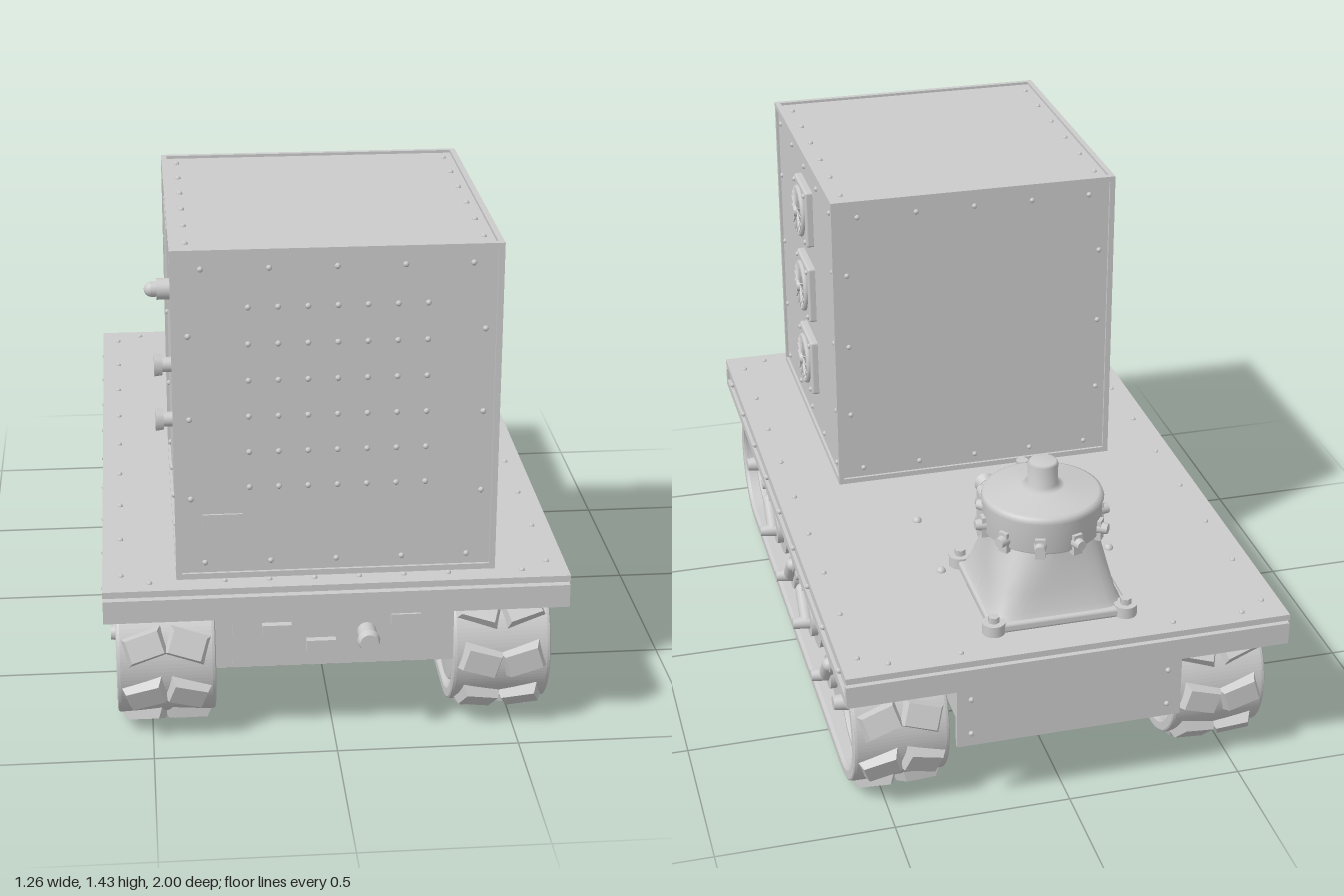
import * as THREE from 'three';
import { RoundedBoxGeometry } from 'three/addons/geometries/RoundedBoxGeometry.js';

const mat = new THREE.MeshStandardMaterial({ color: 0xcccccc, side: THREE.DoubleSide });
const flat = new THREE.MeshStandardMaterial({ color: 0xcccccc, flatShading: true });

function add(parent, name, geo, x = 0, y = 0, z = 0, m = mat) {
  const mesh = new THREE.Mesh(geo, m);
  mesh.name = name;
  mesh.position.set(x, y, z);
  parent.add(mesh);
  return mesh;
}
function group(parent, name) {
  const g = new THREE.Group();
  g.name = name;
  parent.add(g);
  return g;
}
// box given by its limits on each axis
function box(parent, name, x0, x1, y0, y1, z0, z1) {
  return add(parent, name, new THREE.BoxGeometry(x1 - x0, y1 - y0, z1 - z0), (x0 + x1) / 2, (y0 + y1) / 2, (z0 + z1) / 2);
}
// cylinder lying along an axis
function cyl(parent, name, r, len, axis, x, y, z, r2 = r, seg = 24) {
  const g = new THREE.CylinderGeometry(r2, r, len, seg);
  if (axis === 'x') g.rotateZ(-Math.PI / 2);
  if (axis === 'z') g.rotateX(Math.PI / 2);
  return add(parent, name, g, x, y, z);
}
const screwGeo = new THREE.SphereGeometry(0.008, 8, 6);
const screw = (parent, x, y, z) => add(parent, 'screw', screwGeo, x, y, z);

// racetrack outline in the side plane
function trackPath(Path, cz, cy, r) {
  const p = new Path();
  p.moveTo(-cz, cy - r);
  p.lineTo(cz, cy - r);
  p.absarc(cz, cy, r, -Math.PI / 2, Math.PI / 2, false);
  p.lineTo(-cz, cy + r);
  p.absarc(-cz, cy, r, Math.PI / 2, Math.PI * 1.5, false);
  return p;
}

// belt, tread lugs, wheels and suspension for the +x side
function buildTrack() {
  const t = new THREE.Group();
  const CZ = 0.73, CY = 0.222, R = 0.2;
  const shape = trackPath(THREE.Shape, CZ, CY, R);
  shape.holes.push(trackPath(THREE.Path, CZ, CY, R - 0.035));
  const belt = new THREE.ExtrudeGeometry(shape, { depth: 0.25, bevelEnabled: true, bevelThickness: 0.01, bevelSize: 0.006, bevelOffset: -0.006, bevelSegments: 2, curveSegments: 28 });
  belt.rotateY(-Math.PI / 2);
  add(t, 'trackBelt', belt, 0.585, 0, 0);

  // chevron lugs spaced along the belt
  const lugGeo = new THREE.CylinderGeometry(0.55, 0.7071, 1, 4);
  lugGeo.rotateY(Math.PI / 4);
  lugGeo.scale(0.118, 0.032, 0.082);
  const straight = 2 * CZ, arc = Math.PI * R, total = 2 * (straight + arc), count = 29;
  for (let i = 0; i < count; i++) {
    let s = (i + 0.3) * total / count, half = 1;
    if (s > straight + arc) { s -= straight + arc; half = -1; }
    const a = Math.max(0, (s - straight) / R);
    const z0 = s < straight ? -CZ + s : CZ;
    const ny = -Math.cos(a) * half, nz = Math.sin(a) * half;
    const lug = group(t, 'treadLug');
    lug.position.set(0.46, CY + ny * (R + 0.006), z0 * half + nz * (R + 0.006));
    lug.rotation.x = Math.atan2(nz, ny);
    for (const k of [-1, 1]) {
      const m = add(lug, 'lugBlock', lugGeo, k * 0.058, 0, 0, flat);
      m.rotation.y = k * 0.3;
    }
  }

  // drive wheel and idler
  for (const z of [0.72, -0.72]) {
    const pts = [[0, -0.13], [0.155, -0.13], [0.165, -0.12], [0.165, 0.09], [0.15, 0.1], [0.135, 0.1], [0.125, 0.07], [0.06, 0.07], [0.05, 0.1], [0, 0.1]];
    const g = new THREE.LatheGeometry(pts.map(p => new THREE.Vector2(...p)), 40);
    g.rotateZ(-Math.PI / 2);
    add(t, 'endWheel', g, 0.46, 0.232, z);
    cyl(t, 'axleCap', 0.026, 0.05, 'x', 0.585, 0.24, z, 0.02);
  }
  // road wheels on swing arms
  [[0.435, 1], [0.145, -1], [-0.14, 1], [-0.43, -1]].forEach(([z, d]) => {
    cyl(t, 'roadWheel', 0.087, 0.2, 'x', 0.45, 0.15, z, 0.087, 32);
    cyl(t, 'roadWheelHub', 0.05, 0.02, 'x', 0.56, 0.15, z);
    cyl(t, 'roadWheelCap', 0.022, 0.05, 'x', 0.595, 0.145, z, 0.016);
    const arm = add(t, 'swingArm', new THREE.CapsuleGeometry(0.022, 0.09, 6, 12), 0.575, 0.185, z + d * 0.035);
    arm.rotation.x = d * 0.72;
    cyl(t, 'armPivot', 0.026, 0.3, 'x', 0.43, 0.225, z + d * 0.07);
  });
  // side beams and return rollers
  box(t, 'suspensionBeam', 0.5, 0.54, 0.23, 0.285, -0.5, 0.5);
  box(t, 'upperRail', 0.53, 0.6, 0.35, 0.38, -0.55, 0.58);
  for (const z of [0.34, -0.23]) {
    cyl(t, 'returnRoller', 0.03, 0.2, 'x', 0.48, 0.36, z);
    cyl(t, 'rollerCap', 0.02, 0.05, 'x', 0.595, 0.37, z, 0.014);
  }
  return t;
}

function buildDeck(root) {
  const d = group(root, 'deck');
  box(d, 'deckPlate', -0.625, 0.625, 0.485, 0.503, -1, 1);
  box(d, 'deckFrame', -0.6, 0.6, 0.41, 0.485, -0.98, 0.98);
  for (const s of [-1, 1]) {
    box(d, 'sideFlange', s * 0.612 - 0.013, s * 0.612 + 0.013, 0.41, 0.436, -1, 1);
    box(d, 'sideStrip', s * 0.608 - 0.01, s * 0.608 + 0.01, 0.448, 0.475, -1, 1);
    box(d, 'endFlange', -0.625, 0.625, 0.41, 0.475, s * 0.99 - 0.01, s * 0.99 + 0.01);
    for (let i = 0; i < 9; i++) {
      screw(d, s * 0.575, 0.503, -0.91 + i * 0.227);
      screw(d, s * 0.622, 0.46, -0.89 + i * 0.222);
    }
    for (const x of [0.06, 0.18, 0.3, 0.5]) {
      screw(d, s * x, 0.503, 0.955);
      if (x > 0.2) screw(d, s * x, 0.503, -0.955);
    }
    for (const z of [-0.53, -0.235]) add(d, 'deckBolt', new THREE.SphereGeometry(0.014, 12, 8), s * 0.25, 0.503, z);
  }
}

function buildHull(root) {
  const h = group(root, 'hull');
  box(h, 'hullBody', -0.29, 0.29, 0.222, 0.41, -0.9, 0.9);
  box(h, 'frontPanel', -0.325, 0.325, 0.22, 0.4, 0.89, 0.915);
  box(h, 'frontInset', -0.28, 0.275, 0.235, 0.385, 0.915, 0.925);
  box(h, 'frontTrim', -0.39, 0.39, 0.385, 0.412, 0.88, 0.94);
  box(h, 'rearPlate', -0.32, 0.32, 0.22, 0.412, -0.985, -0.97);
  for (const x of [-0.28, 0.28]) for (const y of [0.26, 0.37]) screw(h, x, y, -0.986);
  for (const [x, y] of [[-0.16, 0.34], [-0.04, 0.29], [0.19, 0.36]]) box(h, 'frontMarkerPlate', x - 0.04, x + 0.04, y - 0.018, y + 0.018, 0.92, 0.945);
  cyl(h, 'towStub', 0.026, 0.07, 'z', 0.085, 0.322, 0.955);
  cyl(h, 'towStubCap', 0.031, 0.02, 'z', 0.085, 0.322, 0.99, 0.025);
}

function buildCabinet(root) {
  const c = group(root, 'cabinet');
  const X = 0.42, Y0 = 0.505, Y1 = 1.415, Z0 = 0.045, Z1 = 0.935, e = 0.008;
  box(c, 'cabinetBody', -X, X, Y0, Y1, Z0, Z1);
  // raised trim along all edges
  for (const x of [-X, X]) {
    for (const z of [Z0, Z1]) box(c, 'uprightTrim', x - e, x + e, Y0, Y1, z - e, z + e);
    for (const y of [Y0 + e, Y1]) box(c, 'sideTrim', x - e, x + e, y - e, y + e, Z0, Z1);
  }
  for (const z of [Z0, Z1]) for (const y of [Y0 + e, Y1]) box(c, 'endTrim', -X - e, X + e, y - e, y + e, z - e, z + e);
  // border screws
  for (const s of [-1, 1]) {
    const z = s > 0 ? Z1 : Z0;
    for (let i = 0; i < 5; i++) for (const y of [0.55, 1.37]) {
      screw(c, -0.35 + i * 0.175, y, z);
      screw(c, s * X, y, 0.1 + i * 0.195);
    }
    for (const y of [0.735, 0.96, 1.19]) for (const k of [-1, 1]) {
      screw(c, k * 0.385, y, z);
      screw(c, s * X, y, 0.49 + k * 0.405);
    }
    for (let i = 0; i < 6; i++) screw(c, s * 0.385, Y1, 0.11 + i * 0.15);
  }
  // grid of front rivets and small cover plates
  for (let i = 0; i < 7; i++) for (let j = 0; j < 6; j++) screw(c, -0.23 + i * 0.0775, 0.765 + j * 0.1, Z1);
  box(c, 'frontCover', -0.355, -0.25, 0.56, 0.69, Z1 - 0.01, Z1 + 0.006);
  box(c, 'sideCover', -X - 0.006, -X + 0.01, 1.1, 1.33, 0.14, 0.46);
  // ventilation fans
  for (const y of [0.74, 0.99, 1.24]) {
    const f = group(c, 'fan');
    f.position.set(X, y, 0.46);
    add(f, 'fanHousing', new RoundedBoxGeometry(0.03, 0.18, 0.18, 2, 0.008), 0.008, 0, 0);
    const ring = add(f, 'fanRing', new THREE.TorusGeometry(0.071, 0.009, 8, 36), 0.026, 0, 0);
    ring.rotation.y = Math.PI / 2;
    cyl(f, 'fanHub', 0.022, 0.022, 'x', 0.034, 0, 0, 0.016);
    for (let i = 0; i < 16; i++) {
      const g = new THREE.BoxGeometry(0.003, 0.055, 0.016);
      g.rotateY(0.6);
      g.translate(0, 0.045, 0);
      add(f, 'fanBlade', g, 0.031, 0, 0).rotation.x = i * Math.PI / 8;
    }
    for (const a of [-1, 1]) for (const b of [-1, 1]) screw(f, 0.023, a * 0.075, b * 0.075);
  }
  // lamp and two valves
  cyl(c, 'lampBase', 0.028, 0.04, 'x', -X - 0.02, 1.275, 0.8);
  const lamp = add(c, 'lamp', new THREE.CapsuleGeometry(0.02, 0.035, 6, 16), -0.455, 1.275, 0.8);
  lamp.rotation.z = Math.PI / 2;
  for (const y of [0.91, 1.065]) {
    cyl(c, 'valveStem', 0.02, 0.035, 'x', -X - 0.017, y, 0.8);
    cyl(c, 'valveKnob', 0.033, 0.022, 'x', -X - 0.04, y, 0.8, 0.03, 8);
  }
}

// loft through squircle sections: [y, half size, roundness power]
function loft(sections, n = 48) {
  const pos = [], idx = [];
  for (const [y, r, p] of sections) for (let i = 0; i <= n; i++) {
    const a = i / n * Math.PI * 2, c = Math.cos(a), s = Math.sin(a);
    const k = r / Math.pow(Math.abs(c) ** p + Math.abs(s) ** p, 1 / p);
    pos.push(c * k, y, s * k);
  }
  for (let j = 0; j < sections.length - 1; j++) for (let i = 0; i < n; i++) {
    const a = j * (n + 1) + i, b = a + n + 1;
    idx.push(a, b, a + 1, a + 1, b, b + 1);
  }
  const g = new THREE.BufferGeometry();
  g.setAttribute('position', new THREE.Float32BufferAttribute(pos, 3));
  g.setIndex(idx);
  g.computeVertexNormals();
  return g;
}

function buildPump(root) {
  const p = group(root, 'domedUnit');
  p.position.set(0, 0.5, -0.69);
  add(p, 'baseFlange', new RoundedBoxGeometry(0.4, 0.03, 0.4, 2, 0.01), 0, 0.015, 0);
  add(p, 'flaredBody', loft([[0.02, 0.195, 8], [0.045, 0.18, 7], [0.1, 0.168, 5], [0.16, 0.158, 3], [0.22, 0.152, 2]]));
  for (const x of [-1, 1]) for (const z of [-1, 1]) {
    cyl(p, 'cornerFoot', 0.032, 0.035, 'y', x * 0.188, 0.018, z * 0.185);
    cyl(p, 'cornerBolt', 0.016, 0.02, 'y', x * 0.188, 0.043, z * 0.185, 0.016, 6);
  }
  const pts = [[0.15, 0.2], [0.165, 0.215], [0.165, 0.3], [0.17, 0.305], [0.165, 0.318], [0.155, 0.322], [0.06, 0.338], [0.042, 0.345], [0.042, 0.405], [0.036, 0.412], [0, 0.412]];
  add(p, 'domeCap', new THREE.LatheGeometry(pts.map(q => new THREE.Vector2(...q)), 48));
  // clamp knobs around the drum
  for (let i = 0; i < 10; i++) {
    const k = group(p, 'clampKnob');
    k.rotation.y = i * Math.PI / 5;
    cyl(k, 'clampBolt', 0.02, 0.04, 'x', 0.172, 0.235, 0, 0.014, 12);
    box(k, 'clampBracket', 0.15, 0.175, 0.2, 0.26, -0.014, 0.014);
  }
  // connector housing on the forward side
  add(p, 'connectorBox', new RoundedBoxGeometry(0.23, 0.17, 0.2, 2, 0.015), 0, 0.115, 0.19);
  cyl(p, 'filler', 0.028, 0.06, 'y', 0, 0.22, 0.205);
  cyl(p, 'fillerCap', 0.017, 0.05, 'y', 0, 0.28, 0.205);
  for (const [x, y] of [[0.075, 0.06], [0.075, 0.12], [0.075, 0.175], [-0.06, 0.1]]) {
    cyl(p, 'connectorStub', 0.018, 0.035, 'z', x, y, 0.3, 0.018, 16);
    cyl(p, 'connectorNut', 0.02, 0.02, 'z', x, y, 0.32, x > 0 ? 0.032 : 0.02, 16);
  }
}

export function createModel() {
  const root = new THREE.Group();
  root.name = 'trackedCarrier';
  buildDeck(root);
  buildHull(root);
  buildCabinet(root);
  buildPump(root);
  const left = buildTrack();
  left.name = 'leftTrack';
  const right = buildTrack();
  right.name = 'rightTrack';
  right.rotation.y = Math.PI;
  root.add(left, right);
  return root;
}
